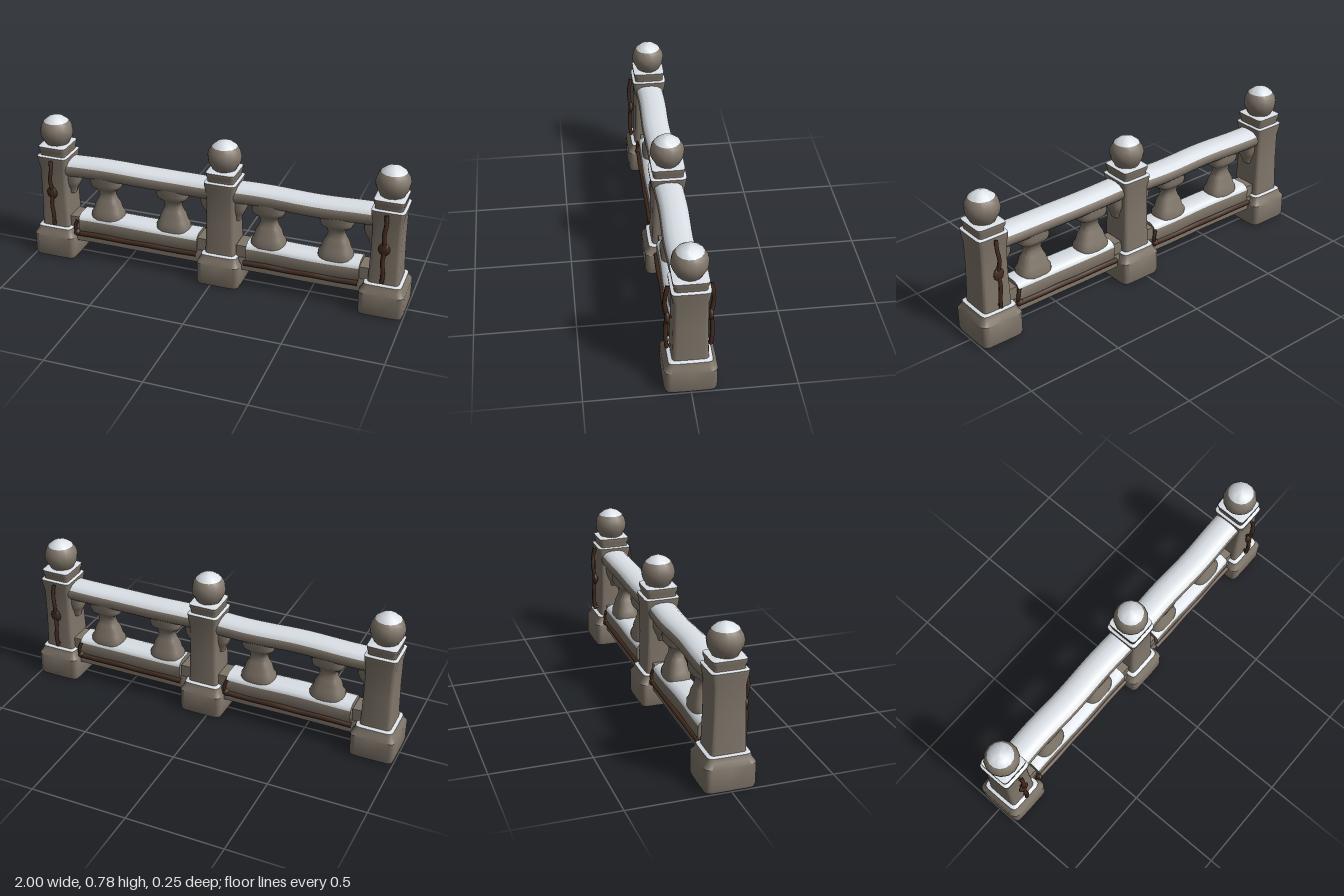
import * as THREE from 'three';
import { toCreasedNormals } from 'three/addons/utils/BufferGeometryUtils.js';

const mat = (name, color) => {
  const m = new THREE.MeshStandardMaterial({ color });
  m.name = name;
  return m;
};

export function createModel() {
  const root = new THREE.Group();
  root.name = 'balustrade';
  const stone = mat('stone', 0x80766a);
  const snow = mat('snow', 0xdce2e8);
  const rust = mat('rustyIron', 0x432c1f);

  const add = (parent, name, geo, material, x = 0, y = 0, z = 0) => {
    const mesh = new THREE.Mesh(geo, material);
    mesh.name = name;
    mesh.position.set(x, y, z);
    parent.add(mesh);
    return mesh;
  };

  // Sorts the faces into a stone group and a snow group: isSnow(normalY, centreY)
  const snowed = (geometry, isSnow, crease = 0.7) => {
    const geo = toCreasedNormals(geometry, crease);
    const p = geo.attributes.position;
    const lists = [[], []];
    const t = new THREE.Triangle(), n = new THREE.Vector3(), c = new THREE.Vector3();
    for (let i = 0; i < p.count; i += 3) {
      t.setFromAttributeAndIndices(p, i, i + 1, i + 2);
      if (t.getArea() < 1e-9) continue;
      t.getNormal(n);
      t.getMidpoint(c);
      lists[isSnow(n.y, c.y) ? 1 : 0].push(i, i + 1, i + 2);
    }
    geo.setIndex([...lists[0], ...lists[1]]);
    geo.clearGroups();
    geo.addGroup(0, lists[0].length, 0);
    geo.addGroup(lists[0].length, lists[1].length, 1);
    return geo;
  };

  // Stacked rounded-square rings; profile holds [y, half width]
  const loft = (profile, power, sx, sz) => {
    const N = 24, pos = [], idx = [];
    const se = v => Math.sign(v) * Math.abs(v) ** (2 / power);
    for (const [y, h] of profile) {
      for (let i = 0; i < N; i++) {
        const a = (i / N) * Math.PI * 2;
        pos.push(se(Math.cos(a)) * h * sx, y, se(Math.sin(a)) * h * sz);
      }
    }
    for (let r = 0; r < profile.length - 1; r++) {
      for (let i = 0; i < N; i++) {
        const a = r * N + i, b = r * N + (i + 1) % N;
        idx.push(a, a + N, b, b, a + N, b + N);
      }
    }
    const geo = new THREE.BufferGeometry();
    geo.setAttribute('position', new THREE.Float32BufferAttribute(pos, 3));
    geo.setIndex(idx);
    return geo;
  };

  // Bar along x with a symmetric section of [z, y] points, slightly worn
  const bar = (section, x0, x1, wear) => {
    const pts = [...section, ...section.map(([z, y]) => [-z, y]).reverse()];
    const shape = new THREE.Shape(pts.map(([z, y]) => new THREE.Vector2(z, y)));
    const geo = new THREE.ExtrudeGeometry(shape, { depth: x1 - x0, steps: 14, bevelEnabled: false });
    geo.rotateY(Math.PI / 2).translate(x0, 0, 0);
    const p = geo.attributes.position;
    for (let i = 0; i < p.count; i++) {
      const x = p.getX(i);
      p.setY(i, p.getY(i) + wear * Math.sin(x * 9));
      p.setZ(i, p.getZ(i) + wear * Math.sin(x * 13 + 1));
    }
    return snowed(geo, ny => ny > 0.5);
  };

  const tube = (points, radius) => new THREE.TubeGeometry(
    new THREE.CatmullRomCurve3(points.map(p => new THREE.Vector3(...p))), 20, radius, 6);

  // Posts: plinth, waisted shaft, collar and ball finial
  const postGeo = snowed(loft([
    [0.004, 0], [0.004, 0.12], [0.02, 0.125], [0.125, 0.125], [0.147, 0.11], [0.168, 0.104],
    [0.173, 0.086], [0.2, 0.085], [0.35, 0.081], [0.5, 0.081], [0.55, 0.09], [0.569, 0.091],
    [0.574, 0.076], [0.59, 0.077], [0.607, 0.083], [0.622, 0.083], [0.628, 0.05], [0.628, 0],
  ], 9, 0.92, 1), ny => ny > 0.85, 0.6);
  const ballGeo = snowed(new THREE.LatheGeometry([
    [0.055, 0.615], [0.068, 0.64], [0.082, 0.665], [0.086, 0.695], [0.08, 0.722],
    [0.064, 0.747], [0.04, 0.766], [0, 0.782],
  ].map(p => new THREE.Vector2(...p)), 14), (ny, y) => y > 0.752);
  const patchGeo = new THREE.CircleGeometry(0.03, 7).rotateX(Math.PI / 2);

  const postX = [-0.885, 0.038, 0.885];
  postX.forEach((x, k) => {
    const post = new THREE.Group();
    post.name = 'post';
    post.position.x = x;
    root.add(post);
    add(post, 'postBody', postGeo, [stone, snow]);
    add(post, 'ballFinial', ballGeo, [stone, snow]);
    // Rust stains under the foot
    [[-0.07, -0.07], [0.07, -0.05], [-0.04, 0.07], [0.06, 0.08], [0.01, 0]].forEach(([px, pz], i) => {
      const s = add(post, 'rustStain', patchGeo, rust, px, 0.001, pz);
      s.scale.set(0.7 + 0.25 * ((i + k) % 3), 1, 0.6 + 0.2 * ((i * 2 + k) % 3));
    });
  });

  // Iron straps bolted to the end posts
  const strap = (x, side) => {
    const g = new THREE.Group();
    g.name = 'ironStrap';
    g.position.x = x;
    root.add(g);
    const path = [[0, 0.56, 0.097], [0.004, 0.51, 0.106], [-0.003, 0.455, 0.111], [0.002, 0.38, 0.101],
      [-0.003, 0.31, 0.107], [0.003, 0.25, 0.107], [0, 0.19, 0.102]];
    add(g, 'strapRod', tube(path.map(([a, b, c]) => [a, b, c * side]), 0.011), rust);
    add(g, 'strapKnob', new THREE.SphereGeometry(1, 8, 6), rust, 0, 0.375, 0.1 * side)
      .scale.set(0.03, 0.034, 0.014);
    for (const y of [0.375, 0.2, 0.55]) {
      const pin = add(g, 'strapPin', new THREE.CylinderGeometry(0.007, 0.007, 0.03, 6), rust, 0, y, 0.088 * side);
      pin.rotation.x = Math.PI / 2;
    }
  };
  strap(-0.883, 1);
  strap(0.883, 1);
  strap(0.883, -1);

  // Balusters, and half capitals against the posts
  const capital = [[0.395, 0.048], [0.405, 0.06], [0.42, 0.08], [0.44, 0.086], [0.48, 0.086]];
  const balusterGeo = toCreasedNormals(loft([
    [0.235, 0.088], [0.265, 0.088], [0.285, 0.075], [0.32, 0.066], [0.345, 0.052], [0.37, 0.043], ...capital,
  ], 3, 1, 0.72), 0.9);
  const halfGeo = toCreasedNormals(loft([
    [0.345, 0], [0.35, 0.028], [0.375, 0.034], [0.4, 0.048], [0.425, 0.058], [0.48, 0.06],
  ], 3, 1, 0.9), 0.9);
  [-0.61, -0.24, 0.275, 0.625].forEach(x => add(root, 'baluster', balusterGeo, stone, x));
  [-0.82, -0.025, 0.1, 0.82].forEach(x => add(root, 'halfCapital', halfGeo, stone, x));

  // Two bays of handrail, sill and iron bars
  const railSection = [[0.052, 0.465], [0.068, 0.48], [0.074, 0.502], [0.068, 0.528], [0.045, 0.547], [0.015, 0.553]];
  const footSection = [[0.05, 0.088], [0.064, 0.095], [0.066, 0.14], [0.06, 0.165]];
  const sillSection = [[0.064, 0.148], [0.07, 0.16], [0.07, 0.222], [0.06, 0.238], [0.035, 0.249]];
  for (const [x0, x1] of [[-0.83, -0.02], [0.1, 0.83]]) {
    add(root, 'handrail', bar(railSection, x0, x1, 0.003), [stone, snow]);
    add(root, 'sillFoot', bar(footSection, x0, x1, 0.001), [stone, stone]);
    add(root, 'sill', bar(sillSection, x0 + 0.075, x1 - 0.07, 0.002), [stone, snow]);
    // Small blocks beside the posts
    for (const x of [x0 + 0.045, x1 - 0.045]) {
      add(root, 'sillBlock', new THREE.BoxGeometry(0.05, 0.1, 0.11), stone, x, 0.18, 0);
    }
    for (const side of [1, -1]) {
      const a = x0 + 0.065, b = x1 - 0.07;
      const pts = [0, 0.2, 0.4, 0.6, 0.8, 1].map((t, i) =>
        [a + (b - a) * t, 0.142 + 0.004 * (i % 2), side * (0.07 + 0.003 * (i % 2))]);
      add(root, 'ironBar', tube(pts, 0.014), rust);
      // Upturned bar end
      if (side < 0 || x0 < 0) {
        const e = side > 0 ? a : b;
        add(root, 'barHook', tube([[e, 0.14, side * 0.07], [e - side * 0.008, 0.18, side * 0.076],
          [e + side * 0.006, 0.225, side * 0.07]], 0.009), rust);
        add(root, 'barKnot', new THREE.SphereGeometry(0.02, 8, 6), rust, e, 0.148, side * 0.07);
      }
    }
  }
  return root;
}
